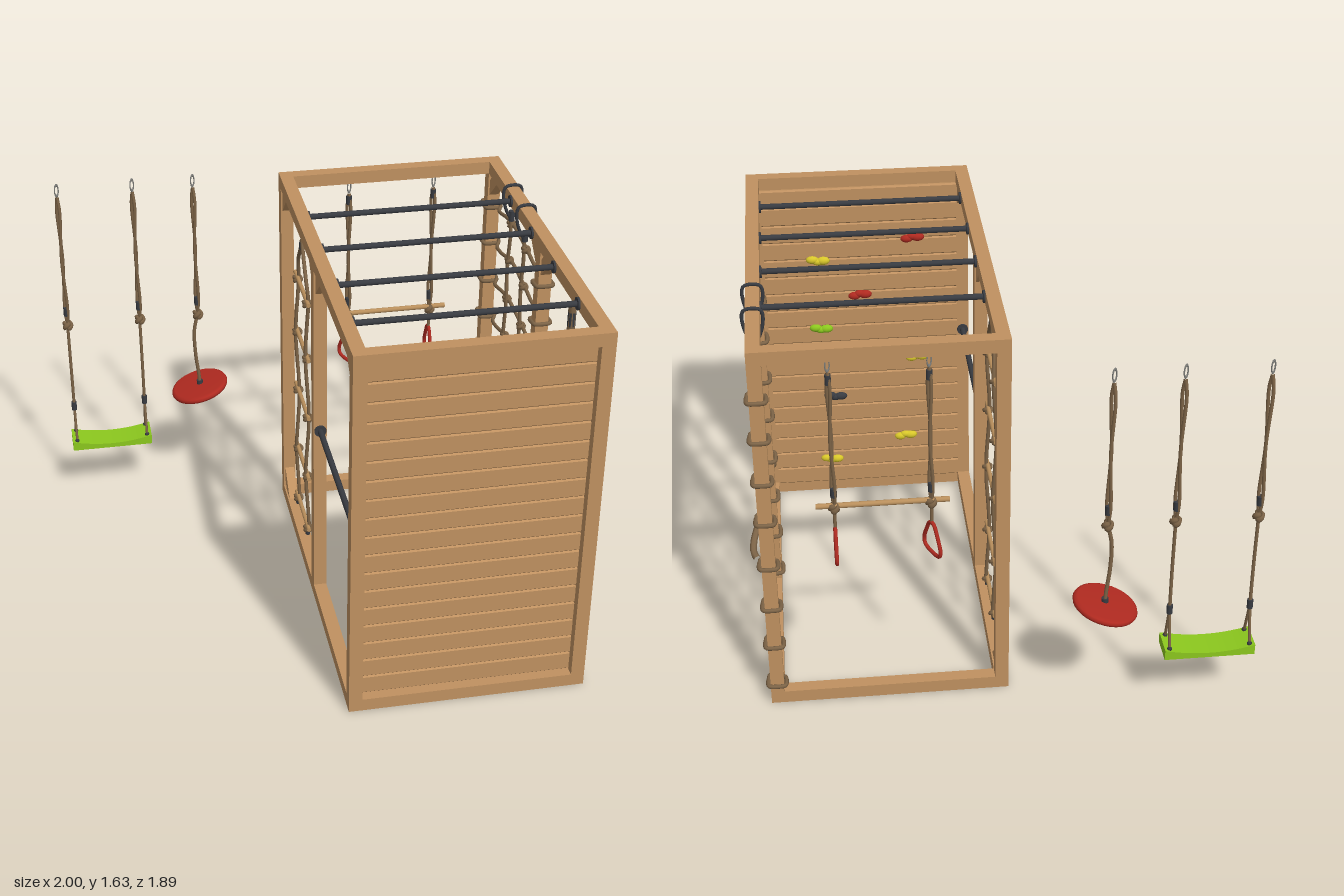
import * as THREE from 'three';

const mat = (name, color) => {
  const m = new THREE.MeshStandardMaterial({ color });
  m.name = name;
  return m;
};
const V = (x, y, z) => new THREE.Vector3(x, y, z);

export function createModel() {
  const wood = mat('wood', 0xc09160), rungWood = mat('rung wood', 0xb98f5c);
  const ropeMat = mat('rope', 0x7d6447), dark = mat('dark metal', 0x383b41);
  const steel = mat('steel', 0x80807c), red = mat('red plastic', 0xb02a20);
  const green = mat('green plastic', 0x8cc81e), yellow = mat('yellow plastic', 0xd8c72a);

  const root = new THREE.Group();
  root.name = 'climbingFrame';
  const group = (name) => {
    const g = new THREE.Group();
    g.name = name;
    root.add(g);
    return g;
  };
  const add = (parent, name, geo, m, x = 0, y = 0, z = 0) => {
    const o = new THREE.Mesh(geo, m);
    o.name = name;
    o.position.set(x, y, z);
    parent.add(o);
    return o;
  };
  // box given by its limits
  const box = (p, name, m, x0, x1, y0, y1, z0, z1) =>
    add(p, name, new THREE.BoxGeometry(x1 - x0, y1 - y0, z1 - z0), m, (x0 + x1) / 2, (y0 + y1) / 2, (z0 + z1) / 2);
  const tube = (p, name, pts, r, m = ropeMat, closed = false) =>
    add(p, name, new THREE.TubeGeometry(
      new THREE.CatmullRomCurve3(pts.map((q) => V(...q)), closed, 'centripetal'), pts.length * 5, r, 7, closed), m);
  const rod = (p, name, m, r, a, b) => {
    const A = V(...a), d = V(...b).sub(A);
    const o = add(p, name, new THREE.CylinderGeometry(r, r, d.length(), 14), m);
    o.position.copy(A).addScaledVector(d, 0.5);
    o.quaternion.setFromUnitVectors(V(0, 1, 0), d.normalize());
    return o;
  };
  const knot = (p, x, y, z, s = 0.014, tall = 1.3) => {
    const o = add(p, 'knot', new THREE.TorusKnotGeometry(s * 0.75, s * 0.5, 40, 6, 2, 3), ropeMat, x, y, z);
    o.rotation.x = Math.PI / 2;
    o.scale.z = tall;
    return o;
  };
  const clip = (p, x, y, z, h = 0.04, r = 0.011) =>
    rod(p, 'clip', dark, r, [x, y - h / 2, z], [x, y + h / 2, z]);
  // narrow steel loop with its top at y
  const carabiner = (p, x, y, z) => {
    const o = add(p, 'carabiner', new THREE.TorusGeometry(0.01, 0.0028, 6, 16), steel, x, y - 0.025, z);
    o.scale.y = 2.5;
    o.rotation.y = 0.6;
  };

  // timber frame
  const X0 = -0.05, X1 = 0.91, Z0 = -0.66, Z1 = 0.94, H = 1.61, T = 0.054;
  const frame = group('timberFrame');
  for (const x of [X0, X1 - T]) {
    for (const z of [Z0, 0.115, Z1 - T]) box(frame, 'post', wood, x, x + T, T, H - T, z, z + T);
    for (const y of [0, H - T]) box(frame, 'sideBeam', wood, x, x + T, y, y + T, Z0, Z1);
  }
  for (const z of [Z0, Z1 - T])
    for (const y of [0, H - T]) box(frame, 'crossBeam', wood, X0 + T, X1 - T, y, y + T, z, z + T);

  // diagonal corner braces: z and y of the corner, and the way they run
  const brace = (z, y, sz, sy) => {
    const s = new THREE.Shape([[0.03, 0], [0.11, 0], [0, 0.1], [0, 0.03]].map(([a, b]) => new THREE.Vector2(a * sz, b * sy)));
    for (const x of [X0 + 0.007, X1 - T + 0.007]) {
      const g = new THREE.ExtrudeGeometry(s, { depth: 0.04, bevelEnabled: false });
      g.rotateY(-Math.PI / 2);
      add(frame, 'cornerBrace', g, wood, x + 0.04, y, z);
    }
  };
  brace(Z1 - T, H - T, -1, -1);
  brace(0.115 + T, H - T, 1, -1);
  brace(0.115, H - T, -1, -1);
  brace(Z0 + T, H - T, 1, -1);
  brace(Z0 + T, T, 1, 1);

  // front wall of grooved boards
  const wall = group('boardWall');
  const N = 18, W0 = T, W1 = H - T, ph = (W1 - W0) / N, c = 0.006, d = 0.03;
  const plank = new THREE.ExtrudeGeometry(new THREE.Shape([
    [0, c], [c, 0], [d - c, 0], [d, c], [d, ph - c], [d - c, ph], [c, ph], [0, ph - c],
  ].map((q) => new THREE.Vector2(...q))), { depth: X1 - X0 - 2 * T, bevelEnabled: false });
  plank.rotateY(Math.PI / 2);
  for (let i = 0; i < N; i++) add(wall, 'plank', plank, wood, X0 + T, W0 + i * ph, 0.902);

  // climbing holds on the inside of the wall
  const holds = group('climbingHolds');
  [[0.2, 1.31, red], [0.62, 1.215, yellow], [0.44, 1.04, red], [0.62, 0.875, green], [0.19, 0.71, yellow],
    [0.57, 0.52, dark], [0.25, 0.29, yellow], [0.6, 0.18, yellow]].forEach(([x, y, m], i) => {
    [[-0.024, 0, 0.03], [0.024, 0.006, 0.028], [0, -0.004, 0.026]].forEach(([dx, dy, r]) => {
      const o = add(holds, 'hold', new THREE.SphereGeometry(r, 12, 8), m, x + dx, y + (i % 2 ? dy : -dy), 0.872);
      o.scale.set(1, 0.65, 0.6);
    });
  });

  // overhead bars and the low side bar
  const bars = group('metalBars');
  const bar = (name, a, b) => {
    rod(bars, name, dark, 0.012, a, b);
    const A = V(...a), B = V(...b), n = B.clone().sub(A).normalize().multiplyScalar(0.008);
    rod(bars, 'flange', dark, 0.025, a, A.clone().add(n).toArray());
    rod(bars, 'flange', dark, 0.025, B.clone().sub(n).toArray(), b);
  };
  for (const z of [-0.26, 0.045, 0.35, 0.655]) bar('monkeyBar', [X0 + T, 1.583, z], [X1 - T, 1.583, z]);
  bar('sideBar', [-0.023, 0.83, 0.169], [-0.023, 0.83, 0.886]);

  // rope net on the side, tied round the two posts
  const net = group('climbingNet');
  const nx = 0.885;
  const wrap = (cz, y, tilt) => {
    const h = 0.034;
    tube(net, 'postWrap', [[-h, h * 0.8], [-h * 0.8, h], [h * 0.8, h], [h, h * 0.8], [h, -h * 0.8], [h * 0.8, -h],
      [-h * 0.8, -h], [-h, -h * 0.8]].map(([a, b]) => [nx + a - 0.002, y + b * tilt, cz + b]), 0.009, ropeMat, true);
  };
  [1.405, 1.235, 1.05, 0.87, 0.665, 0.47, 0.285, 0.09].forEach((y, i) => {
    const s = i % 2 ? -0.006 : 0.006;
    tube(net, 'netRope', [[0.913, y, 0.165], [0.916, y, 0.11], [nx + 0.008, y + 0.006, 0.02], [nx + 0.01, y + 0.018, -0.13],
      [nx + 0.01, y + 0.032, -0.34], [nx + 0.006 + s, y + 0.015, -0.45], [nx + 0.012, y - 0.006, -0.56],
      [0.916, y, -0.6], [0.914, y - 0.003, -0.655]], 0.008);
    wrap(0.142, y, 0.1);
    wrap(-0.633, y - 0.004, -0.1);
    knot(net, nx + 0.004, y + 0.018, -0.125);
    knot(net, nx + 0.004, y + 0.032, -0.345);
  });
  for (const [zt, zb, yb] of [[-0.135, -0.12, 0.08], [-0.335, -0.35, 0.08]]) {
    const pts = [];
    for (let i = 0; i <= 14; i++) {
      const t = i / 14;
      pts.push([nx - 0.002, 1.48 + (yb - 1.48) * t, zt + (zb - zt) * t + 0.008 * Math.sin(i * 1.9)]);
    }
    tube(net, 'netUpright', pts, 0.008);
    tube(net, 'beamLoop', [[nx, 1.47, zt], [0.85, 1.54, zt], [0.85, 1.61, zt], [nx, 1.62, zt], [0.918, 1.61, zt],
      [0.918, 1.54, zt]], 0.007, dark, true);
    clip(net, nx, 1.48, zt, 0.045, 0.013);
  }

  // rope ladder on the opposite side
  const ladder = group('ropeLadder');
  const lx = -0.025;
  carabiner(ladder, lx, 1.555, -0.235);
  clip(ladder, lx, 1.47, -0.235, 0.03);
  for (const s of [1, -1]) {
    const zz = (y) => -0.24 + s * (0.118 + 0.008 * Math.sin(y * 9 + s));
    const pts = [[lx, 1.5, -0.235], [lx, 1.45, -0.235 + s * 0.025], [lx, 1.36, -0.235 + s * 0.09]];
    for (let y = 1.27; y > 0.1; y -= 0.1) pts.push([lx + 0.006 * Math.sin(y * 11), y, zz(y)]);
    tube(ladder, 'ladderRope', pts, 0.008);
    for (const y of [1.27, 1.01, 0.73, 0.425, 0.16]) knot(ladder, lx, y - 0.01, zz(y), 0.015);
    clip(ladder, lx, 0.135, zz(0.14), 0.03, 0.01);
  }
  for (const y of [1.27, 1.01, 0.73, 0.425, 0.16]) rod(ladder, 'ladderRung', rungWood, 0.009, [lx, y, -0.085], [lx, y, -0.4]);

  // knotted climbing rope with its tail on the ground
  const climb = group('climbingRope');
  carabiner(climb, nx, 1.56, 0.515);
  clip(climb, nx, 1.44, 0.512, 0.06, 0.016);
  tube(climb, 'thickRope', [[nx, 1.5, 0.512], [nx, 1.24, 0.515], [nx + 0.006, 1.05, 0.512], [nx, 0.85, 0.51], [nx - 0.004, 0.6, 0.518],
    [nx + 0.004, 0.4, 0.515], [0.91, 0.27, 0.512], [0.925, 0.17, 0.503], [0.955, 0.1, 0.47], [0.978, 0.05, 0.41],
    [0.98, 0.025, 0.36], [0.965, 0.016, 0.325]], 0.016);
  for (const y of [1.24, 0.85, 0.4]) knot(climb, nx, y, 0.513, 0.023, 1.2);

  // doubled rope with hardware, shared by the hanging toys
  const hanger = (p, x, z, yKnot) => {
    carabiner(p, x, 1.555, z);
    for (const s of [1, -1])
      tube(p, 'doubledRope', [[x, 1.5, z], [x + s * 0.006, 1.44, z + s * 0.009], [x - s * 0.003, 1.2, z + s * 0.01],
        [x + s * 0.006, yKnot + 0.08, z + s * 0.008], [x, yKnot, z]], 0.007);
    clip(p, x, yKnot + 0.07, z, 0.04, 0.013);
    knot(p, x, yKnot, z, 0.016, 1.6);
  };

  // trapeze bar with two hand rings under the back beam
  const trapeze = group('trapeze');
  for (const [x, turn] of [[0.25, 0.45], [0.62, 0]]) {
    hanger(trapeze, x, -0.635, 0.91);
    clip(trapeze, x, 1.47, -0.635, 0.04, 0.012);
    tube(trapeze, 'ringStrap', [[x, 0.91, -0.635], [x, 0.81, -0.635]], 0.007);
    const ring = tube(trapeze, 'handRing', [[0, 0.07, -0.012], [0, 0.07, 0.012], [0, 0.02, 0.042], [0, -0.035, 0.062],
      [0, -0.058, 0.05], [0, -0.058, -0.05], [0, -0.035, -0.062], [0, 0.02, -0.042]], 0.008, red, true);
    ring.position.set(x, 0.745, -0.64);
    ring.rotation.y = turn;
  }
  rod(trapeze, 'trapezeBar', rungWood, 0.011, [0.18, 0.92, -0.635], [0.69, 0.92, -0.635]);

  // swing with a curved seat
  const swing = group('swing');
  const sz = -0.82;
  const seat = new THREE.Shape();
  seat.moveTo(-0.18, 0);
  seat.lineTo(0.18, 0);
  seat.lineTo(0.18, 0.045);
  seat.quadraticCurveTo(0, -0.003, -0.18, 0.045);
  add(swing, 'swingSeat', new THREE.ExtrudeGeometry(seat, { depth: 0.12, bevelEnabled: false, curveSegments: 16 }), green, -0.82, 0.26, sz - 0.06);
  for (const x of [-0.98, -0.66]) {
    hanger(swing, x, sz, 0.88);
    tube(swing, 'swingRope', [[x, 0.88, sz], [x, 0.65, sz + 0.004], [x, 0.46, sz]], 0.007);
    clip(swing, x, 0.465, sz, 0.04, 0.012);
    for (const s of [1, -1]) {
      tube(swing, 'seatRope', [[x, 0.46, sz], [x, 0.3, sz + s * 0.045]], 0.006);
      add(swing, 'seatEyelet', new THREE.SphereGeometry(0.01, 10, 8), dark, x, 0.303, sz + s * 0.045);
    }
  }

  // disc swing, tilted on its rope
  const discSwing = group('discSwing');
  hanger(discSwing, -0.4, sz, 0.88);
  tube(discSwing, 'discRope', [[-0.4, 0.88, sz], [-0.417, 0.8, sz], [-0.416, 0.68, sz], [-0.404, 0.56, sz], [-0.4, 0.46, sz]], 0.008);
  knot(discSwing, -0.4, 0.475, sz, 0.013);
  clip(discSwing, -0.402, 0.53, sz, 0.02, 0.014);
  const disc = add(discSwing, 'disc', new THREE.LatheGeometry(
    [[0, -0.016], [0.115, -0.016], [0.127, -0.01], [0.131, 0], [0.127, 0.01], [0.115, 0.017], [0, 0.017]]
      .map((q) => new THREE.Vector2(...q)), 32), red, -0.403, 0.506, sz);
  disc.rotation.z = 0.25;

  return root;
}
